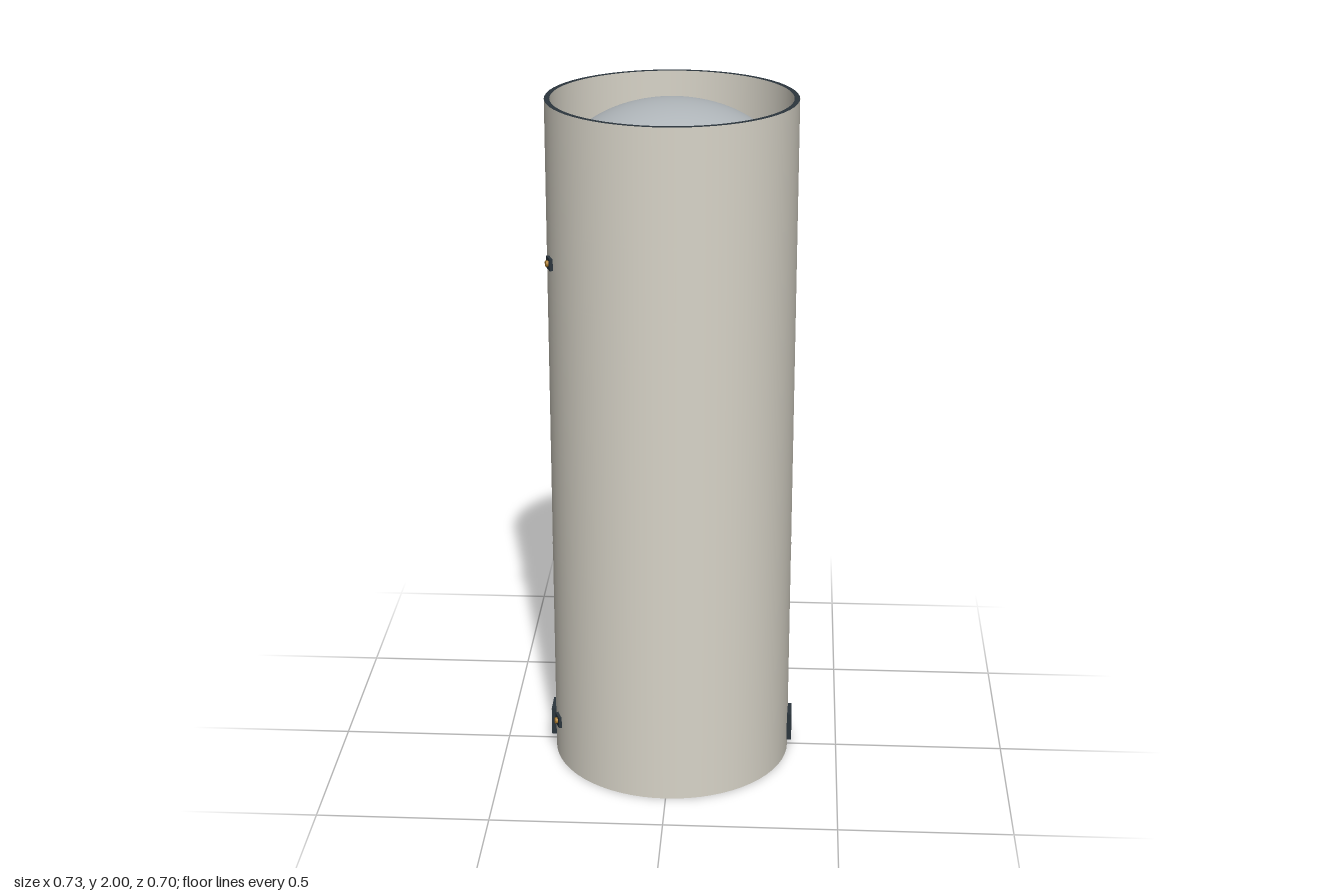
import * as THREE from 'three';

const R = 0.352, RI = 0.338, H = 2;

function material(name, color, side = THREE.FrontSide) {
  const m = new THREE.MeshStandardMaterial({ color, side });
  m.name = name;
  return m;
}

export function createModel() {
  const model = new THREE.Group();
  model.name = 'cylindricalStage';
  const hull = material('warmWhite', 0xd8d4c8, THREE.DoubleSide);
  const dark = material('darkSlate', 0x2b353d);
  const tank = material('tankGrey', 0xb0b6ba);
  const brass = material('brass', 0xb08030);
  const pale = material('paleGrey', 0xd6dadc);

  function add(name, geometry, mat, parent = model) {
    const mesh = new THREE.Mesh(geometry, mat);
    mesh.name = name;
    parent.add(mesh);
    return mesh;
  }
  function rod(name, points, radius, mat) {
    const path = new THREE.CurvePath();
    const v = points.map((p) => new THREE.Vector3(...p));
    for (let i = 1; i < v.length; i++) path.add(new THREE.LineCurve3(v[i - 1], v[i]));
    return add(name, new THREE.TubeGeometry(path, 40, radius, 8), mat);
  }

  // Hull skin, inside and outside
  add('outerSkin', new THREE.CylinderGeometry(R, R, H, 64, 1, true), hull).position.y = H / 2;
  add('innerSkin', new THREE.CylinderGeometry(RI, RI, H, 64, 1, true), hull).position.y = H / 2;

  // Faint weld seams around the hull
  for (const y of [0.333, 0.667, 1, 1.333, 1.46, 1.67]) {
    add('weldSeam', new THREE.CylinderGeometry(R + 0.0005, R + 0.0005, 0.006, 64, 1, true), hull).position.y = y;
  }

  // Dark end rims and domed bulkheads, mirrored top and bottom
  for (const s of [1, -1]) {
    const rim = add('endRim', new THREE.RingGeometry(RI - 0.001, R, 64), dark);
    rim.rotation.x = -s * Math.PI / 2;
    rim.position.y = s > 0 ? H : 0;

    const dome = new THREE.SphereGeometry(RI, 64, 24, 0, Math.PI * 2, 0, Math.PI / 2);
    dome.scale(1, 0.707, 1);
    if (s < 0) dome.rotateX(Math.PI);
    add('domedBulkhead', dome, tank).position.y = s > 0 ? 1.752 : 0.25;

    // Base fitting on each side
    add('baseFitting', new THREE.BoxGeometry(0.02, 0.085, 0.074), dark).position.set(s * 0.354, 0.075, 0);
  }

  // Small sensor pods: position by height and angle round the -x side
  function pod(y, side, lensMat, w, h) {
    const g = new THREE.Group();
    g.name = 'sensorPod';
    add('podBase', new THREE.BoxGeometry(0.014, h, w), dark, g).position.x = 0.353;
    const lens = new THREE.CylinderGeometry(0.009, 0.009, 0.01, 16);
    lens.rotateZ(Math.PI / 2);
    add('podLens', lens, lensMat, g).position.x = 0.362;
    g.rotation.y = Math.PI + side * 0.35;
    g.position.y = y;
    model.add(g);
  }
  pod(1.555, 1, brass, 0.04, 0.034);
  pod(0.125, 1, brass, 0.04, 0.034);
  pod(1.895, -1, pale, 0.034, 0.046);

  // Pipe up the inner wall, bending over to the upper dome
  rod('wallPipe', [[-0.332, 0.005, 0], [-0.332, 1.92, 0], [-0.25, 1.915, 0]], 0.005, brass);

  // Fittings under the lower dome
  const plate = new THREE.SphereGeometry(1, 24, 12);
  plate.scale(0.1, 0.012, 0.035);
  add('manifold', plate, brass).position.y = 0.013;
  for (let i = -3; i <= 3; i++) {
    for (const z of [-0.018, 0.018]) {
      add('manifoldPort', new THREE.SphereGeometry(0.009, 10, 8), brass).position.set(i * 0.024, 0.01, z);
    }
  }
  for (const x of [1, -1]) {
    for (const z of [1, -1]) {
      rod('manifoldStrut', [[x * 0.06, 0.012, z * 0.03], [x * 0.11, 0.028, z * 0.07]], 0.004, pale);
    }
  }
  add('ventBox', new THREE.BoxGeometry(0.03, 0.03, 0.025), pale).position.set(-0.02, 0.035, -0.15);

  return model;
}
